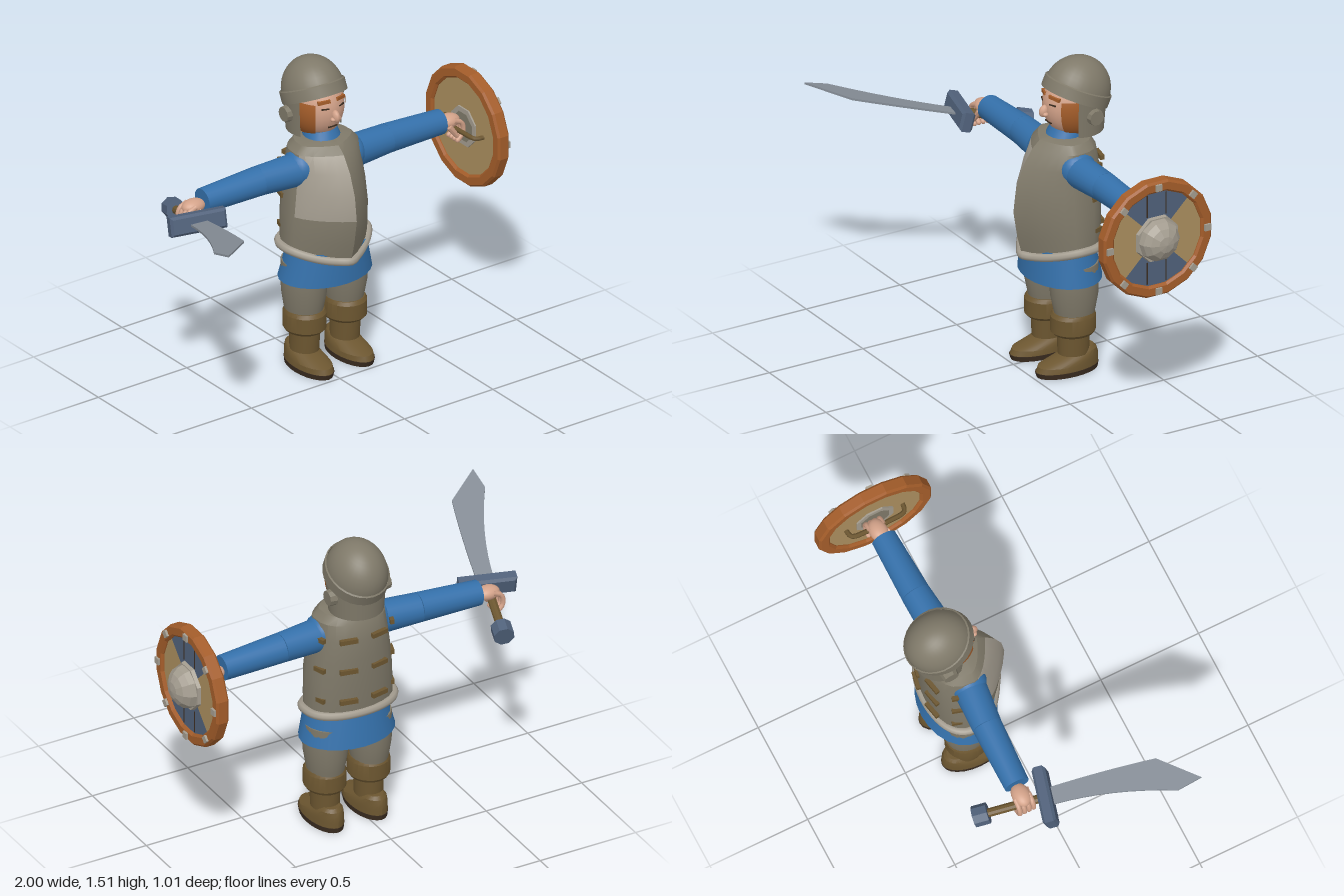
import * as THREE from 'three';
import { toCreasedNormals } from 'three/addons/utils/BufferGeometryUtils.js';

const mat = (name, color, side = THREE.FrontSide) => {
  const m = new THREE.MeshStandardMaterial({ color, side });
  m.name = name;
  return m;
};
const V = (x, y, z) => new THREE.Vector3(x, y, z);
const CX = 0.067; // body centre line

export function createModel() {
  const M = {
    cloth: mat('blueCloth', 0x3470aa),
    iron: mat('greyIron', 0x7f7969, THREE.DoubleSide),
    pale: mat('paleIron', 0xa39c8f),
    leather: mat('brownLeather', 0x6c5630),
    dark: mat('darkSole', 0x3a2c20),
    skin: mat('skin', 0xd3a289),
    orange: mat('orangeBrown', 0xa45d2a),
    tan: mat('tanWood', 0xaa8e5e),
    steel: mat('blueSteel', 0x50617a),
    blade: mat('bladeSteel', 0x858d96),
  };
  const root = new THREE.Group();
  root.name = 'warrior';
  const add = (name, geo, material, parent = root) => {
    const m = new THREE.Mesh(geo, material);
    m.name = name;
    parent.add(m);
    return m;
  };
  const box = (name, size, pos, material, parent = root) => {
    const m = add(name, new THREE.BoxGeometry(...size), material, parent);
    m.position.set(...pos);
    return m;
  };
  const ball = (name, pos, scale, material, args = [24, 16]) => {
    const m = add(name, new THREE.SphereGeometry(1, ...args), material);
    m.position.set(...pos);
    m.scale.set(...scale);
    return m;
  };
  // tapered rod from p to q
  const rod = (name, p, q, r1, r2, seg, material) => {
    const d = q.clone().sub(p);
    const g = toCreasedNormals(new THREE.CylinderGeometry(r2, r1, d.length(), seg), 0.6);
    const m = add(name, g, material);
    m.position.copy(p).addScaledVector(d, 0.5);
    m.quaternion.setFromUnitVectors(V(0, 1, 0), d.normalize());
    return m;
  };
  // horizontal ring: height, half width, front z, back z
  const ring = (cx, [y, w, zf, zb, dip = 0], keel, n = 24) => Array.from({ length: n }, (_, j) => {
    const a = (j / n) * Math.PI * 2, c = Math.cos(a), s = Math.sin(a);
    const mid = keel ? -0.2 : (zf + zb) / 2;
    const front = keel ? 0.5 * c + 0.5 * (1 - Math.abs(s)) : c;
    const back = keel ? Math.pow(Math.max(0, -c), 0.7) : -c;
    const z = c > 0 ? mid + (zf - mid) * front : mid + (zb - mid) * back;
    return V(cx + w * s, y - dip * Math.max(0, c) ** 2, z);
  });
  // closed skin over rings; isPatch(i, j) picks the second material
  const loft = (rings, isPatch = () => false, crease = 0.5) => {
    const n = rings[0].length, pos = [], idx = [[], []];
    rings.flat().forEach((p) => pos.push(p.x, p.y, p.z));
    for (let i = 0; i < rings.length - 1; i++) for (let j = 0; j < n; j++) {
      const k = (j + 1) % n, a = i * n, b = a + n;
      idx[isPatch(i, j) ? 1 : 0].push(a + j, a + k, b + k, a + j, b + k, b + j);
    }
    const t = (rings.length - 1) * n;
    for (let j = 1; j < n - 1; j++) idx[0].push(0, j + 1, j, t, t + j, t + j + 1);
    const g = new THREE.BufferGeometry();
    g.setAttribute('position', new THREE.Float32BufferAttribute(pos, 3));
    g.setIndex([...idx[0], ...idx[1]]);
    g.addGroup(0, idx[0].length, 0);
    g.addGroup(idx[0].length, idx[1].length, 1);
    return toCreasedNormals(g, crease);
  };
  const body = (name, cx, levels, material) =>
    add(name, loft(levels.map((l) => ring(cx, l))), [material, material]);

  // legs and boots
  for (const [side, cx] of [['right', -0.047], ['left', 0.182]]) {
    body(side + 'Trouser', cx, [[0.26, 0.08, -0.125, -0.305], [0.31, 0.09, -0.115, -0.315],
      [0.38, 0.1, -0.1, -0.328], [0.46, 0.105, -0.095, -0.33], [0.54, 0.1, -0.095, -0.33]], M.iron);
    body(side + 'BootCuff', cx, [[0.19, 0.088, -0.115, -0.305], [0.205, 0.098, -0.1, -0.315],
      [0.28, 0.098, -0.1, -0.315], [0.297, 0.09, -0.112, -0.305]], M.leather);
    body(side + 'BootShaft', cx, [[0.09, 0.066, -0.135, -0.285], [0.2, 0.068, -0.13, -0.287]], M.leather);
    body(side + 'Foot', cx, [[0.024, 0.08, -0.015, -0.335], [0.05, 0.078, -0.025, -0.335],
      [0.075, 0.07, -0.1, -0.333], [0.1, 0.056, -0.19, -0.325], [0.115, 0.04, -0.225, -0.31]], M.leather);
    body(side + 'Sole', cx, [[0, 0.079, -0.02, -0.333], [0.025, 0.082, -0.012, -0.337]], M.dark);
  }

  // tunic skirt, hollow below
  body('tunicSkirt', CX, [[0.54, 0.17, -0.06, -0.345], [0.455, 0.228, -0.037, -0.38],
    [0.455, 0.235, -0.03, -0.385], [0.62, 0.195, -0.035, -0.352]], M.cloth);

  // breastplate with a front keel
  const plate = [[0.63, 0.215, -0.005, -0.365, 0.05], [0.7, 0.215, 0.02, -0.37, 0.025], [0.8, 0.21, 0.04, -0.375],
    [0.92, 0.197, 0.025, -0.378], [1.02, 0.183, -0.01, -0.375], [1.1, 0.172, -0.06, -0.36], [1.135, 0.14, -0.1, -0.34],
    [1.145, 0.09, -0.14, -0.3]].map((l) => ring(CX, l, true));
  add('breastplate', loft(plate, (i, j) => i > 1 && i < 5 && j > 18), [M.iron, M.pale]);
  const hem = new THREE.CatmullRomCurve3(plate[0].map((p) => V(CX + (p.x - CX) * 1.03, p.y, p.z)), true);
  add('breastplateHem', new THREE.TubeGeometry(hem, 72, 0.021, 8, true), M.pale);
  for (const y of [0.71, 0.87, 1.03]) for (const s of [-1, 1]) {
    box('backStrap', [0.085, 0.022, 0.02], [CX + s * 0.08, y, -0.37], M.leather).rotation.y = -s * 0.2;
    box('sideStrap', [0.02, 0.022, 0.06], [CX + s * 0.187, y, -0.29], M.leather).rotation.y = s * 0.3;
  }
  rod('collar', V(CX, 1.1, -0.23), V(CX, 1.165, -0.245), 0.1, 0.08, 20, M.cloth);

  // arms and hands
  for (const s of [-1, 1]) {
    const side = s > 0 ? 'left' : 'right', P = (x, y, z) => V(CX + s * x, y, z);
    ball(side + 'Shoulder', [CX + s * 0.14, 1.02, -0.215], [0.07, 0.085, 0.088], M.cloth);
    rod(side + 'UpperSleeve', P(0.13, 1.01, -0.215), P(0.36, 1.008, -0.23), 0.08, 0.07, 20, M.cloth);
    rod(side + 'LowerSleeve', P(0.36, 1.008, -0.23), P(0.672, 0.997, -0.236), 0.07, 0.06, 20, M.cloth);
    ball(side + 'Palm', [CX + s * 0.72, 0.985, -0.24], [0.06, 0.034, 0.043], M.skin);
    for (let f = 0; f < 4; f++) {
      const z = -0.275 + f * 0.023;
      const bend = new THREE.CatmullRomCurve3([P(0.73, 0.995, z), P(0.772, 0.975, z), P(0.782, 0.925, z), P(0.75, 0.89, z)]);
      add(side + 'Finger', new THREE.TubeGeometry(bend, 8, 0.012, 7), M.skin);
      ball(side + 'Fingertip', [CX + s * 0.75, 0.89, z], [0.012, 0.012, 0.012], M.skin, [7, 5]);
    }
    rod(side + 'Thumb', P(0.7, 0.975, -0.205), P(0.745, 0.915, -0.2), 0.016, 0.011, 8, M.skin);
  }

  // head and face
  ball('head', [CX, 1.29, -0.28], [0.122, 0.162, 0.152], M.skin);
  for (const s of [-1, 1]) {
    const beard = [20, 14, s > 0 ? 2.3 : -0.2, 1.04, 1.3, 1.25];
    ball('sideBeard', [CX, 1.29, -0.28], [0.129, 0.167, 0.158], M.orange, beard);
    const brow = box('eyebrow', [0.06, 0.016, 0.018], [CX + s * 0.045, 1.347, -0.153], M.orange);
    brow.rotation.set(0, s * 0.35, -s * 0.12);
    box('closedEye', [0.036, 0.006, 0.008], [CX + s * 0.045, 1.315, -0.142], M.dark).rotation.y = s * 0.35;
    ball('nostril', [CX + s * 0.015, 1.262, -0.122], [0.014, 0.011, 0.014], M.skin, [8, 6]);
  }
  ball('nose', [CX, 1.275, -0.122], [0.018, 0.03, 0.024], M.skin, [10, 8]).rotation.x = -0.35;
  box('mouth', [0.05, 0.006, 0.008], [CX, 1.215, -0.147], M.dark);

  // helmet: tilted dome and band, neck guard, ear discs
  const helm = new THREE.Group();
  helm.name = 'helmet';
  helm.position.set(CX, 1.34, -0.297);
  helm.rotation.x = -0.43;
  root.add(helm);
  const dome = add('helmetDome', new THREE.SphereGeometry(1, 28, 12, 0, Math.PI * 2, 0, Math.PI / 2), M.iron, helm);
  dome.scale.set(0.14, 0.166, 0.162);
  const band = add('helmetBand', new THREE.LatheGeometry([[0.94, -0.03], [1, -0.03], [1, 0.025], [0.96, 0.03]]
    .map((p) => new THREE.Vector2(...p)), 28), M.iron, helm);
  band.geometry = toCreasedNormals(band.geometry, 0.6);
  band.scale.set(0.148, 1, 0.168);
  const guard = add('neckGuard', new THREE.CylinderGeometry(1, 0.9, 0.19, 24, 1, true, 1.1, Math.PI * 2 - 2.2), M.iron);
  guard.position.set(CX, 1.25, -0.295);
  guard.scale.set(0.143, 1, 0.14);
  for (const s of [-1, 1])
    rod('earDisc', V(CX + s * 0.125, 1.255, -0.31), V(CX + s * 0.16, 1.255, -0.31), 0.042, 0.036, 10, M.iron);

  // shield, facing outward on the left hand
  const shield = new THREE.Group();
  shield.name = 'shield';
  shield.position.set(0.86, 0.943, -0.22);
  shield.rotation.y = Math.PI / 2;
  root.add(shield);
  const arc = (r, from, to, n) => Array.from({ length: n + 1 }, (_, i) => {
    const a = from + ((to - from) * i) / n;
    return new THREE.Vector2(r * Math.cos(a), r * Math.sin(a));
  });
  const off = Math.PI / 16, full = Math.PI * 2;
  const rim = new THREE.Shape(arc(0.282, off, full + off, 16).slice(0, 16));
  rim.holes.push(new THREE.Path(arc(0.246, off, full + off, 16).slice(0, 16)));
  add('shieldRim', new THREE.ExtrudeGeometry(rim, { depth: 0.044, bevelSize: 0.01, bevelThickness: 0.01, bevelSegments: 1 }), M.orange, shield);
  for (let q = 0; q < 4; q++) {
    const a = (q - 0.5) * Math.PI / 2;
    const wedge = new THREE.Shape([new THREE.Vector2(0, 0), ...arc(0.25, a, a + Math.PI / 2, 4)]);
    add('shieldQuarter', new THREE.ExtrudeGeometry(wedge, { depth: 0.03, bevelEnabled: false }), q % 2 ? M.steel : M.tan, shield).position.z = 0.008;
  }
  const back = add('shieldBack', new THREE.CircleGeometry(0.245, 16), M.tan, shield);
  back.rotation.y = Math.PI;
  back.position.z = 0.005;
  for (const s of [-1, 1]) for (const t of [-1, 1])
    box('plankGap', [0.005, 0.11, 0.003], [s * 0.05, t * 0.168, 0.039], M.dark, shield);
  const boss = (name, geo, z, material = M.pale) => {
    const m = add(name, toCreasedNormals(geo.rotateX(Math.PI / 2), 0.05), material, shield);
    m.position.z = z;
    return m;
  };
  boss('bossPlate', new THREE.CylinderGeometry(0.113, 0.118, 0.02, 8).rotateY(Math.PI / 8), 0.046);
  boss('bossDome', new THREE.SphereGeometry(0.105, 10, 4, 0, full, 0, Math.PI / 2).scale(1, 0.8, 1), 0.052);
  boss('bossBack', new THREE.CylinderGeometry(0.1, 0.1, 0.01, 8).rotateY(Math.PI / 8), 0.002);
  boss('bossHollow', new THREE.CylinderGeometry(0.075, 0.075, 0.01, 8).rotateY(Math.PI / 8), 0, M.iron);
  for (let i = 0; i < 8; i++) {
    const a = (i * Math.PI) / 4;
    box('rimStud', [0.032, 0.032, 0.016], [0.26 * Math.cos(a), 0.26 * Math.sin(a), 0.057], M.pale, shield).rotation.z = a;
  }
  const strap = new THREE.CatmullRomCurve3([V(-0.145, 0, 0.01), V(-0.135, 0, -0.03), V(-0.06, 0, -0.04),
    V(0.06, 0, -0.04), V(0.135, 0, -0.03), V(0.145, 0, 0.01)]);
  add('shieldGrip', new THREE.TubeGeometry(strap, 24, 0.012, 6), M.leather, shield);

  // sword: grip, pommel, guard and a curved blade that widens to the tip
  const pommel = V(-0.625, 0.885, -0.43), hilt = V(-0.705, 0.96, -0.14);
  const along = hilt.clone().sub(pommel).normalize();
  rod('swordGrip', pommel, hilt, 0.021, 0.021, 10, M.leather);
  rod('pommel', pommel.clone().addScaledVector(along, -0.035), pommel.clone().addScaledVector(along, 0.035), 0.05, 0.05, 8, M.steel);
  const across = V(0.95, 0.03, 0.3).addScaledVector(along, -V(0.95, 0.03, 0.3).dot(along)).normalize();
  const guardShape = new THREE.Shape([[-0.125, -0.035], [0.125, -0.035], [0.125, 0.035], [-0.125, 0.035]].map((p) => new THREE.Vector2(...p)));
  const cross = add('crossGuard', new THREE.ExtrudeGeometry(guardShape, { depth: 0.04, bevelSize: 0.012, bevelThickness: 0.012, bevelSegments: 1 }).translate(0, 0, -0.02), M.steel);
  cross.position.copy(hilt);
  cross.quaternion.setFromRotationMatrix(new THREE.Matrix4().makeBasis(across, along.clone().cross(across), along));
  const outline = new THREE.Shape();
  outline.moveTo(-0.755, 0.12);
  outline.quadraticCurveTo(-0.83, -0.14, -0.997, -0.39);
  outline.lineTo(-1.0, -0.508);
  outline.lineTo(-0.812, -0.37);
  outline.quadraticCurveTo(-0.74, -0.16, -0.675, 0.1);
  const blade = new THREE.ExtrudeGeometry(outline, { depth: 0.01, bevelEnabled: false, curveSegments: 8 });
  blade.rotateX(-Math.PI / 2);
  const bp = blade.attributes.position;
  for (let i = 0; i < bp.count; i++) bp.setY(i, bp.getY(i) + 0.992 + 0.28 * bp.getZ(i));
  blade.computeVertexNormals();
  add('blade', blade, M.blade);

  return root;
}
